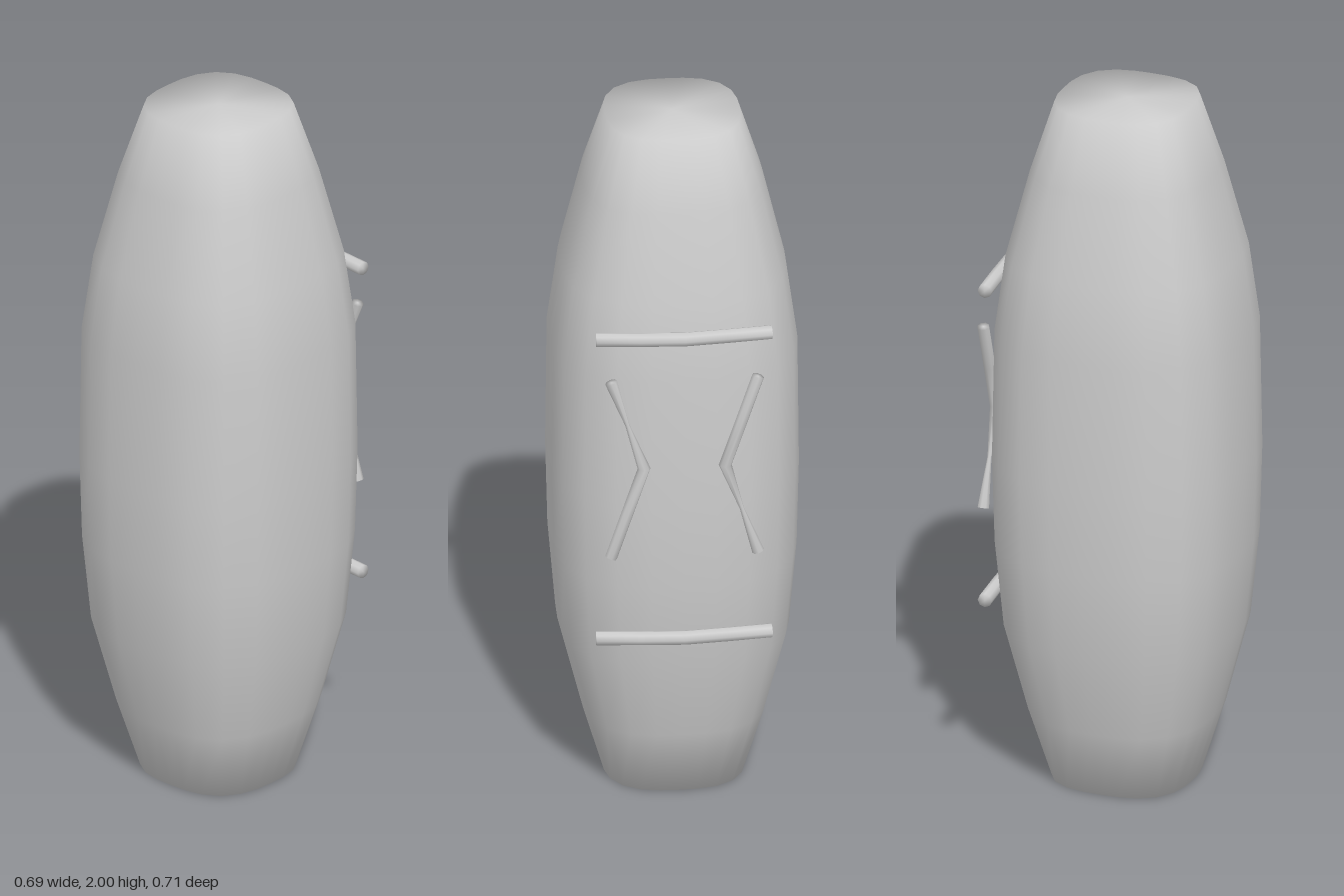
import * as THREE from 'three';

const material = new THREE.MeshStandardMaterial({ color: 0xcccccc });

// Skin a stack of equal-length point rings and close both ends
function loft(rings, name) {
  const n = rings[0].length;
  const last = (rings.length - 1) * n;
  const points = rings.flat();
  const index = [];
  const centre = ring => ring.reduce((s, p) => s.add(p), new THREE.Vector3()).divideScalar(n);
  const start = points.push(centre(rings[0])) - 1;
  const end = points.push(centre(rings[rings.length - 1])) - 1;
  for (let j = 0; j < n; j++) {
    const k = (j + 1) % n;
    for (let i = 0; i < last; i += n) {
      index.push(i + j, i + n + j, i + k, i + k, i + n + j, i + n + k);
    }
    index.push(start, j, k, end, last + k, last + j);
  }
  const geometry = new THREE.BufferGeometry().setFromPoints(points);
  geometry.setIndex(index);
  geometry.computeVertexNormals();
  const mesh = new THREE.Mesh(geometry, material);
  mesh.name = name;
  return mesh;
}

// Barrel section: a square with strongly rounded corners
function bodyRing(y, rx, rz, sides = 24, power = 2.8) {
  return Array.from({ length: sides }, (_, j) => {
    const a = (j / sides) * Math.PI * 2;
    const c = Math.cos(a), s = Math.sin(a);
    const r = (Math.abs(c) ** power + Math.abs(s) ** power) ** (-1 / power);
    return new THREE.Vector3(rx * r * c, y, rz * r * s + 0.008);
  });
}

// Thin rod through mitred points; each point is [x, y, z, radius]
function rod(path, name, sides = 8) {
  const pts = path.map(p => new THREE.Vector3(p[0], p[1], p[2]));
  const zAxis = new THREE.Vector3(0, 0, 1);
  const rings = pts.map((p, i) => {
    const before = p.clone().sub(pts[Math.max(i - 1, 0)]).normalize();
    const after = pts[Math.min(i + 1, pts.length - 1)].clone().sub(p).normalize();
    const dir = before.clone().add(after).normalize();
    const v = new THREE.Vector3().crossVectors(zAxis, dir).normalize();
    const u = new THREE.Vector3().crossVectors(dir, v);
    const mitre = 1 / Math.max(dir.dot(after), dir.dot(before));
    return Array.from({ length: sides }, (_, j) => {
      const a = (j / sides) * Math.PI * 2;
      return p.clone()
        .addScaledVector(u, Math.cos(a) * path[i][3])
        .addScaledVector(v, Math.sin(a) * path[i][3] * mitre);
    });
  });
  return loft(rings, name);
}

export function createModel() {
  const model = new THREE.Group();
  model.name = 'barrelBody';

  // Tapered body: height, half width, half depth
  const profile = [
    [0, 0.195, 0.195], [0.2, 0.254, 0.256], [0.45, 0.317, 0.318], [0.7, 0.338, 0.342],
    [0.95, 0.344, 0.349], [1.33, 0.34, 0.342], [1.55, 0.31, 0.314], [1.8, 0.25, 0.25],
    [2, 0.186, 0.188],
  ];
  model.add(loft(profile.map(p => bodyRing(...p)), 'body'));

  // Bowed bars across the back
  for (const [y, name] of [[1.465, 'upperBackBar'], [0.545, 'lowerBackBar']]) {
    model.add(rod([
      [-0.242, y, -0.316, 0.02], [-0.12, y, -0.328, 0.02], [0, y, -0.337, 0.02],
      [0.12, y, -0.328, 0.02], [0.242, y, -0.316, 0.02],
    ], name));
  }

  // Chevron rods between the bars, one arm of each pinched in the middle
  for (const side of [1, -1]) {
    const r = 0.017, z = -0.336, thin = 0.006;
    const upperMid = side > 0 ? thin : r;
    const lowerMid = side > 0 ? r : thin;
    model.add(rod([
      [side * 0.203, 0.803, z, r], [side * 0.158, 0.937, z, lowerMid],
      [side * 0.112, 1.073, z, r],
      [side * 0.158, 1.208, z, upperMid], [side * 0.203, 1.342, z, r],
    ], side > 0 ? 'leftChevron' : 'rightChevron'));
  }
  return model;
}
